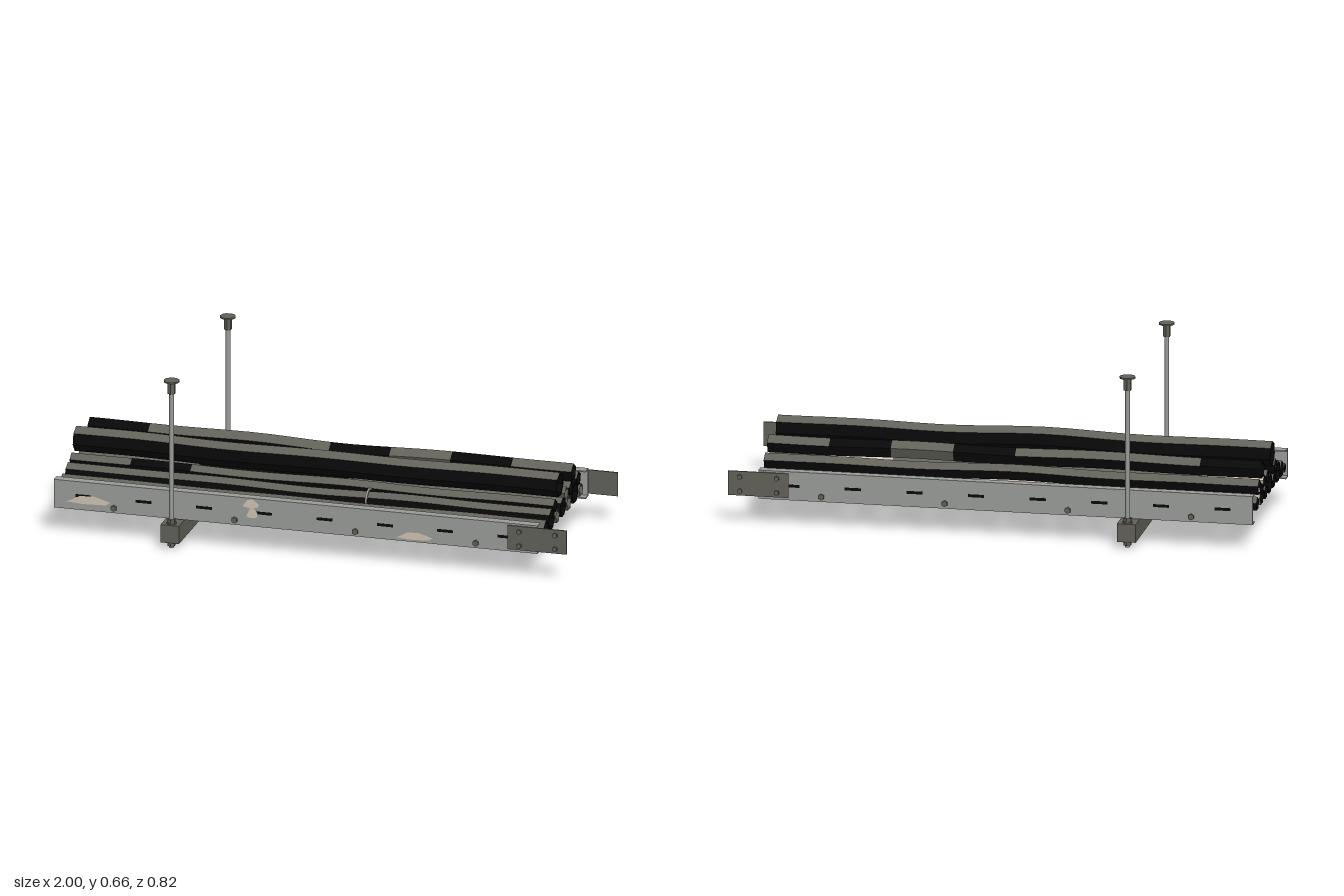
import * as THREE from 'three';

const mat = (name, color, side = THREE.FrontSide) => {
  const m = new THREE.MeshStandardMaterial({ color, side });
  m.name = name;
  return m;
};

export function createModel() {
  const root = new THREE.Group();
  root.name = 'suspendedCableTray';
  const steel = mat('galvanisedSteel', 0x9a9d9a);
  const dark = mat('darkSteel', 0x62625a);
  const grey = mat('dustyCableGrey', 0x62625b);
  const black = mat('cableBlack', 0x080808);
  const red = mat('cableRed', 0x6c2427);
  const cream = mat('dustCream', 0xd0c4b5, THREE.DoubleSide);

  const add = (name, geo, m, x = 0, y = 0, z = 0, parent = root) => {
    const mesh = new THREE.Mesh(geo, m);
    mesh.name = name;
    mesh.position.set(x, y, z);
    parent.add(mesh);
    return mesh;
  };
  const box = (name, m, x0, x1, y0, y1, z0, z1, parent = root) =>
    add(name, new THREE.BoxGeometry(x1 - x0, y1 - y0, Math.abs(z1 - z0)), m,
      (x0 + x1) / 2, (y0 + y1) / 2, (z0 + z1) / 2, parent);
  // Cylinders: faceted up to six sides, smooth above
  const cyl = (r, h, n) => {
    const g = new THREE.CylinderGeometry(r, r, h, n);
    if (n > 6) return g;
    const f = g.toNonIndexed();
    f.computeVertexNormals();
    return f;
  };
  const rod = (name, m, r, y0, y1, n, x, z, parent) =>
    add(name, cyl(r, y1 - y0, n), m, x, (y0 + y1) / 2, z, parent);
  const bolt = (name, m, r, x, y, z, depth, parent) => {
    add(name, cyl(r, depth, 6), m, x, y, z, parent).rotation.x = Math.PI / 2;
  };

  const RUNGS = [-0.765, -0.295, 0.175, 0.645];
  const HX = -0.53;

  // Side rails, splice plates and hanger rods, mirrored across z
  for (const s of [1, -1]) {
    const rail = new THREE.Group();
    rail.name = s > 0 ? 'frontRail' : 'backRail';
    root.add(rail);
    box('railWeb', steel, -1, 0.885, 0.1, 0.21, s * 0.334, s * 0.34, rail);
    box('railTopFlange', steel, -1, 0.885, 0.206, 0.211, s * 0.303, s * 0.34, rail);
    box('railBottomFlange', steel, -1, 0.885, 0.1, 0.105, s * 0.303, s * 0.34, rail);
    for (let i = 0; i < 8; i++) {
      const x = -0.885 + i * 0.235;
      box('railSlot', black, x - 0.031, x + 0.031, 0.15, 0.161, s * 0.3335, s * 0.3405, rail);
    }
    for (const x of RUNGS) bolt('rungBolt', dark, 0.012, x, 0.12, s * 0.344, 0.01, rail);
    box('splicePlate', dark, 0.77, 1, 0.11, 0.204, s * 0.34, s * 0.346, rail);
    for (const x of [0.815, 0.955])
      for (const y of [0.128, 0.183]) bolt('spliceBolt', dark, 0.01, x, y, s * 0.349, 0.01, rail);

    const hanger = new THREE.Group();
    hanger.name = s > 0 ? 'frontHanger' : 'backHanger';
    root.add(hanger);
    const z = s * 0.378;
    rod('hangerRod', steel, 0.009, 0, 0.64, 12, HX, z, hanger);
    rod('rodCoupler', dark, 0.015, 0.61, 0.658, 6, HX, z, hanger);
    rod('ceilingDisc', dark, 0.03, 0.657, 0.663, 12, HX, z, hanger);
    rod('upperWasher', dark, 0.019, 0.094, 0.1, 10, HX, z, hanger);
    rod('upperNut', dark, 0.016, 0.1, 0.114, 6, HX, z, hanger);
    rod('lowerWasher', dark, 0.019, 0.02, 0.026, 10, HX, z, hanger);
    rod('lowerNut', dark, 0.016, 0.008, 0.021, 6, HX, z, hanger);
  }

  // Dust patches on the front rail
  const patch = (x0, x1, y0, y1) => {
    const w = x1 - x0, h = y1 - y0;
    const pts = [[0, 0.15], [0.35, 0], [0.9, 0.1], [1, 0.45], [0.8, 0.75], [0.6, 1], [0.3, 0.9], [0.15, 0.5]];
    const shape = new THREE.Shape(pts.map(([a, b]) => new THREE.Vector2(x0 + a * w, y0 + b * h)));
    add('dustPatch', new THREE.ShapeGeometry(shape), cream, 0, 0, 0.3408);
  };
  patch(-0.95, -0.78, 0.124, 0.158);
  patch(-0.265, -0.2, 0.172, 0.207);
  patch(-0.25, -0.205, 0.132, 0.175);
  patch(0.335, 0.475, 0.108, 0.138);

  // Rungs: inverted channels with an open slot below
  const channel = (name, m, x, w, y0, y1, len, t, lip) => {
    const a = w / 2, h = y1 - y0;
    const pts = [[-a, 0], [-a, h], [a, h], [a, 0], [a - lip, 0], [a - lip, t], [a - t, t],
      [a - t, h - t], [t - a, h - t], [t - a, t], [lip - a, t], [lip - a, 0]];
    const shape = new THREE.Shape(pts.map(p => new THREE.Vector2(...p)));
    const geo = new THREE.ExtrudeGeometry(shape, { depth: len, bevelEnabled: false });
    add(name, geo, m, x, y0, -len / 2);
  };
  for (const x of RUNGS) channel('rung', steel, x, 0.072, 0.1, 0.135, 0.668, 0.005, 0.02);

  // Support strut under the tray
  box('strut', dark, HX - 0.036, HX + 0.036, 0.025, 0.095, -0.403, 0.403);
  box('strutSlot', black, HX - 0.018, HX + 0.018, 0.0235, 0.03, -0.36, 0.36);

  // Cables: faceted hollow tubes, dusty on top, with differently coloured spans
  const SPANS = 8, SUB = 3, X0 = -1, X1 = 0.885;
  const palette = [grey, black, red, cream];
  const cable = (k, z0, y0, r, n, under, spans = {}) => {
    const pos = [];
    const geo = new THREE.BufferGeometry();
    const point = (j, i, rad) => {
      const x = X0 + (X1 - X0) * j / (SPANS * SUB);
      const ends = Math.sin(Math.PI * (x + 1) / 1.885);
      const bump = Math.exp(-(((x + 0.08) / 0.28) ** 2)) * (z0 < 0.1 ? 0.016 : 0.006);
      const z = z0 + bump + ends * 0.006 * Math.sin(x * 7 + k * 1.9);
      const y = y0 + ends * 0.004 * Math.sin(x * 8 + k * 2.3);
      const a = i * 2 * Math.PI / n;
      return [x, y + rad * Math.cos(a), z + rad * Math.sin(a)];
    };
    const quad = (m, a, b, c, d) => {
      geo.addGroup(pos.length / 3, 6, m);
      pos.push(...a, ...b, ...c, ...a, ...c, ...d);
    };
    const wall = r * 0.88;
    for (let j = 0; j < SPANS * SUB; j++) {
      const span = spans[Math.floor(j / SUB)];
      const inner = span === 2 || span === 0 ? span : 1;
      for (let i = 0; i < n; i++) {
        const up = Math.cos((i + 0.5) * 2 * Math.PI / n) > 0.6;
        quad(span !== undefined ? span : up ? 0 : under,
          point(j, i, r), point(j, i + 1, r), point(j + 1, i + 1, r), point(j + 1, i, r));
        quad(inner, point(j, i, wall), point(j + 1, i, wall),
          point(j + 1, i + 1, wall), point(j, i + 1, wall));
        // Cut ends of the tube wall
        if (j === 0) quad(inner, point(0, i, wall), point(0, i + 1, wall), point(0, i + 1, r), point(0, i, r));
        if (j === SPANS * SUB - 1)
          quad(inner, point(j + 1, i, r), point(j + 1, i + 1, r), point(j + 1, i + 1, wall), point(j + 1, i, wall));
      }
    }
    geo.setAttribute('position', new THREE.Float32BufferAttribute(pos, 3));
    geo.computeVertexNormals();
    add('cable' + (k + 1), geo, palette);
  };
  // z, y, radius, sides, underside colour, whole-span colours
  [
    [0.284, 0.15, 0.019, 5, 2, { 7: 2 }],
    [0.225, 0.162, 0.033, 5, 1],
    [0.15, 0.173, 0.042, 7, 1],
    [0.102, 0.209, 0.028, 5, 1, { 1: 1 }],
    [0.069, 0.158, 0.0275, 5, 1, { 7: 0 }],
    [-0.004, 0.17, 0.0385, 7, 1, { 2: 1, 3: 1 }],
    [-0.049, 0.208, 0.028, 5, 1, { 7: 0 }],
    [-0.082, 0.16, 0.031, 5, 1, { 7: 0 }],
    [-0.165, 0.173, 0.042, 7, 3, { 7: 1 }],
    [-0.211, 0.212, 0.031, 5, 1],
    [-0.113, 0.209, 0.026, 5, 1, { 0: 3, 6: 3 }],
    [-0.245, 0.157, 0.027, 5, 1, { 7: 0 }],
    [0.039, 0.273, 0.0485, 7, 1],
    [-0.144, 0.261, 0.0345, 5, 1, { 0: 1, 4: 1, 5: 0, 6: 1 }],
  ].forEach((c, k) => cable(k, ...c));

  // Red sleeve around one of the lower cables
  const sleeve = add('redSleeve', cyl(0.034, 0.07, 5), red, -0.08, 0.162, -0.072);
  sleeve.rotation.z = Math.PI / 2;

  // Flat ties looping around the thick cables and a rung
  const loop = (Shape, w, bottom) => {
    const p = new Shape();
    p.moveTo(-w, bottom);
    p.lineTo(w, bottom);
    p.lineTo(w, 0.18);
    p.absarc(0, 0.18, w, 0, Math.PI, false);
    p.lineTo(-w, bottom);
    return p;
  };
  for (const z of [0.155, -0.158]) {
    const band = loop(THREE.Shape, 0.047, 0.093);
    band.holes.push(loop(THREE.Path, 0.04, 0.0995));
    const geo = new THREE.ExtrudeGeometry(band, { depth: 0.006, bevelEnabled: false, curveSegments: 10 });
    add('cableTie', geo, cream, 0.172, 0, z).rotation.y = Math.PI / 2;
  }
  return root;
}
